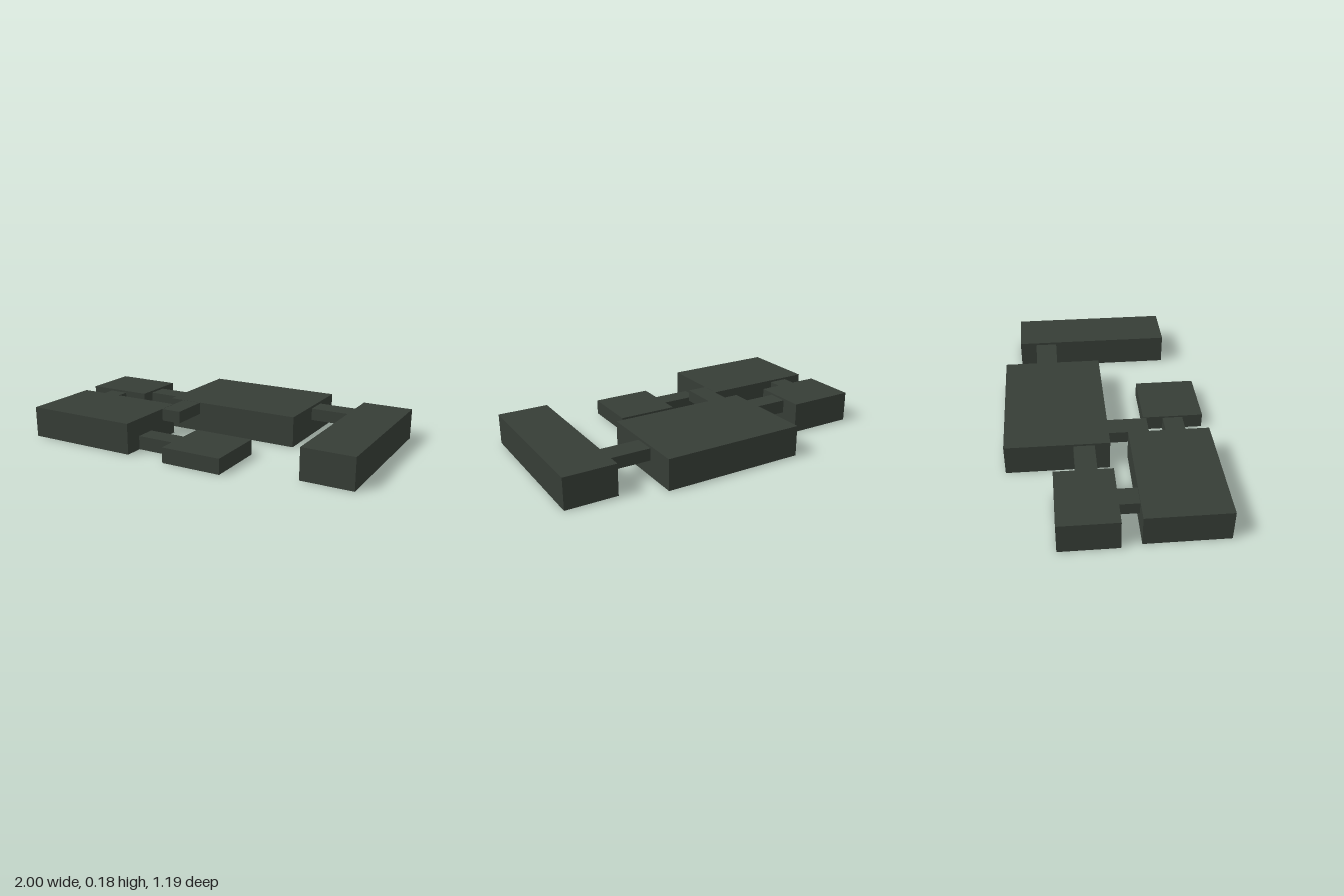
import * as THREE from 'three';

export function createModel() {
  const group = new THREE.Group();
  const slate = new THREE.MeshStandardMaterial({ color: 0x363d36 });
  slate.name = 'darkSlate';

  // Box given by its extents along each axis
  function block(name, [x0, x1], [y0, y1], [z0, z1]) {
    const mesh = new THREE.Mesh(new THREE.BoxGeometry(x1 - x0, y1 - y0, z1 - z0), slate);
    mesh.position.set((x0 + x1) / 2, (y0 + y1) / 2, (z0 + z1) / 2);
    mesh.name = name;
    group.add(mesh);
  }

  // Rooms
  const full = [0, 0.182];
  block('mainRoom', [-0.385, 0.455], full, [-0.595, 0]);
  block('longRoom', [0.7, 1], full, [-0.505, 0.455]);
  block('backSideRoom', [-1, -0.598], full, [-0.328, 0]);
  block('frontSideRoom', [-0.983, -0.298], full, [0.11, 0.578]);
  block('lowRoom', [-0.055, 0.305], [0, 0.09], [0.23, 0.592]);

  // Corridors joining the rooms
  block('longRoomCorridor', [0.455, 0.7], [0.096, 0.167], [-0.4, -0.268]);
  block('backSideCorridor', [-0.598, -0.385], [0.09, 0.17], [-0.207, -0.087]);
  block('sideRoomsCorridor', [-0.862, -0.745], [0.1, 0.17], [0, 0.11]);
  block('mainFrontCorridor', [-0.298, -0.177], [0.11, 0.181], [0, 0.23]);
  block('lowRoomCorridor', [-0.298, -0.055], [0, 0.08], [0.35, 0.47]);

  return group;
}
